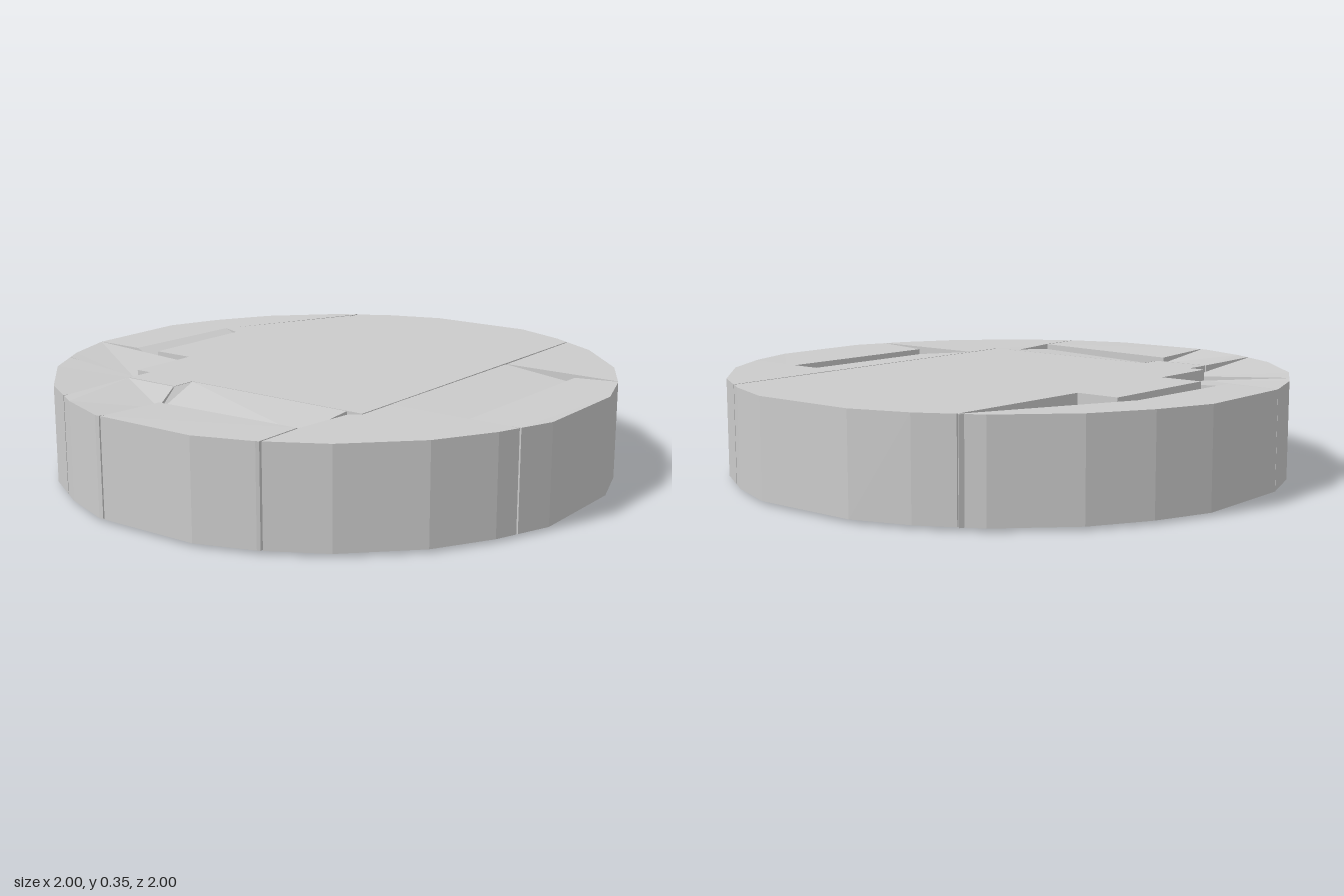
import * as THREE from 'three';

const TOP = 0.355, BASE = 0.01;

// One quarter of the worn round outline as [x, z], turned four times
const QUARTER = [[1, 0.2], [0.925, 0.4], [0.81, 0.6], [0.6, 0.81], [0.4, 0.925], [0.2, 0.995]];
const RIM = [];
for (let q = 0; q < 4; q++) {
  const c = [1, 0, -1, 0][q], s = [0, 1, 0, -1][q];
  for (const [x, z] of QUARTER) RIM.push([x * c - z * s, x * s + z * c]);
}
const turn = (a) => ((a % (2 * Math.PI)) + 2 * Math.PI) % (2 * Math.PI);
const angle = ([x, z]) => turn(Math.atan2(z, x));

// Push a point out to the outline along its own direction
function onRim([x, z]) {
  const a = angle([x, z]);
  for (let i = 0; i < RIM.length; i++) {
    const p = RIM[i], q = RIM[(i + 1) % RIM.length];
    if (turn(a - angle(p)) <= turn(angle(q) - angle(p))) {
      const ex = q[0] - p[0], ez = q[1] - p[1];
      const t = (p[0] * ez - p[1] * ex) / (x * ez - z * ex);
      return [x * t, z * t];
    }
  }
}

// Rim points between two cuts, in order of rising angle
function arc(from, to) {
  const start = angle(from), span = turn(angle(to) - start);
  const between = RIM
    .map((p) => ({ p, t: turn(angle(p) - start) }))
    .filter(({ t }) => t > 0.01 && t < span - 0.01)
    .sort((a, b) => a.t - b.t)
    .map(({ p }) => p);
  return [onRim(from), ...between, onRim(to)].map(([x, z]) => ({ x, y: -z, drop: 0, rim: true }));
}
const inner = (list) => list.map(([x, z, drop = 0]) => ({ x, y: -z, drop, rim: false }));

// Move the joint edges inward to leave a crack; rim edges stay in place
function inset(pts, gap) {
  const n = pts.length;
  const edge = (i) => {
    const a = pts[i], b = pts[(i + 1) % n], l = Math.hypot(b.x - a.x, b.y - a.y);
    return { x: -(b.y - a.y) / l, y: (b.x - a.x) / l, e: a.rim && b.rim ? 0 : gap };
  };
  return pts.map((p, i) => {
    const u = edge((i + n - 1) % n), v = edge(i);
    const det = u.x * v.y - u.y * v.x;
    const dx = Math.abs(det) < 0.05 ? u.x * u.e : (u.e * v.y - v.e * u.y) / det;
    const dy = Math.abs(det) < 0.05 ? u.y * u.e : (u.x * v.e - v.x * u.e) / det;
    return { ...p, x: p.x + dx, y: p.y + dy };
  });
}

// Stone block over a polygon, its top sunk at the chipped corners
function block(points, gap) {
  let pts = points;
  if (THREE.ShapeUtils.isClockWise(pts)) pts = [...pts].reverse();
  pts = inset(pts, gap);
  const pos = [];
  const top = (p) => [p.x, TOP - p.drop, -p.y];
  const low = (p) => [p.x, p.drop > 0.025 ? 0 : BASE, -p.y];
  const tri = (...corners) => corners.forEach((c) => pos.push(...c));
  const contour = pts.map((p) => new THREE.Vector2(p.x, p.y));
  for (const [a, b, c] of THREE.ShapeUtils.triangulateShape(contour, [])) {
    tri(top(pts[a]), top(pts[b]), top(pts[c]));
    tri(low(pts[a]), low(pts[c]), low(pts[b]));
  }
  pts.forEach((p, i) => {
    const q = pts[(i + 1) % pts.length];
    tri(low(p), low(q), top(q));
    tri(low(p), top(q), top(p));
  });
  const geo = new THREE.BufferGeometry();
  geo.setAttribute('position', new THREE.Float32BufferAttribute(pos, 3));
  geo.computeVertexNormals();
  return geo;
}

export function createModel() {
  const group = new THREE.Group();
  group.name = 'crackedStoneDisc';
  const stone = new THREE.MeshStandardMaterial({ color: 0xcccccc, flatShading: true });
  const add = (name, points, gap = 0.003) => {
    const mesh = new THREE.Mesh(block(points, gap), stone);
    mesh.name = name;
    group.add(mesh);
  };

  // Where the cracks reach the rim
  const cut = {
    rightBack: [0.86, -0.53], rightFront: [0.9, 0.47], frontRight: [0.41, 0.92],
    frontLeft: [-0.32, 0.95], leftFront: [-0.91, 0.41], leftBack: [-1, -0.18],
    backLeft: [-0.89, -0.47], backMid: [-0.47, -0.89], back: [-0.2, -0.99],
  };

  // Flat centre, reaching the rim on one side
  add('centreSlab', [
    ...arc(cut.rightBack, cut.rightFront),
    ...inner([[-0.48, 0.47], [-0.48, -0.26], [-0.57, -0.26], [-0.57, -0.48], [-0.47, -0.48],
      [-0.47, -0.54], [-0.2, -0.54], [-0.2, -0.7], [0.29, -0.7], [0.29, -0.54]]),
  ]);

  // Rim blocks, each from its arc and the joint corners [x, z, drop]
  const rimBlocks = [
    ['frontRightBlock', 'rightFront', 'frontRight', [[0.41, 0.47]]],
    ['frontBlock', 'frontRight', 'frontLeft', [[-0.32, 0.75, 0.01], [0.41, 0.75, 0.01]]],
    ['frontLeftBlock', 'frontLeft', 'leftFront', [[-0.73, 0.41], [-0.48, 0.41, 0.01], [-0.48, 0.47], [-0.32, 0.47]]],
    ['leftBlock', 'leftFront', 'leftBack', [[-0.73, -0.18, 0.01], [-0.73, 0.41]]],
    ['backLeftEndBlock', 'leftBack', 'backLeft', [[-0.57, -0.48], [-0.57, -0.26], [-0.73, -0.18, 0.03]]],
    ['backLeftBlock', 'backLeft', 'backMid', [[-0.47, -0.48, 0.03]]],
    ['backBlock', 'backMid', 'back', [[-0.2, -0.54, 0.02], [-0.47, -0.54, 0.04]]],
  ];
  for (const [name, from, to, joint] of rimBlocks) {
    add(name, [...arc(cut[from], cut[to]), ...inner(joint)]);
  }
  add('backRightBlock', [
    ...arc(cut.back, cut.rightBack), ...inner([[0.29, -0.78], [-0.2, -0.8]]),
  ], 0);

  // Chipped, sloping pieces along the joints
  add('backChip', inner([[-0.2, -0.8], [0.29, -0.78], [0.29, -0.7, 0.03], [-0.2, -0.7, 0.04]]), 0);
  add('backRightChip', inner([[0.29, -0.78], [0.86, -0.535], [0.29, -0.54, 0.04]]), 0);
  add('frontStrip', inner([[-0.32, 0.47], [0.41, 0.47], [0.41, 0.75, 0.03], [-0.32, 0.75, 0.03]]), 0.001);
  add('leftStrip', inner([[-0.48, -0.26], [-0.57, -0.26], [-0.73, -0.18, 0.04], [-0.73, 0.41, 0.02], [-0.48, 0.41]]), 0.001);
  return group;
}
